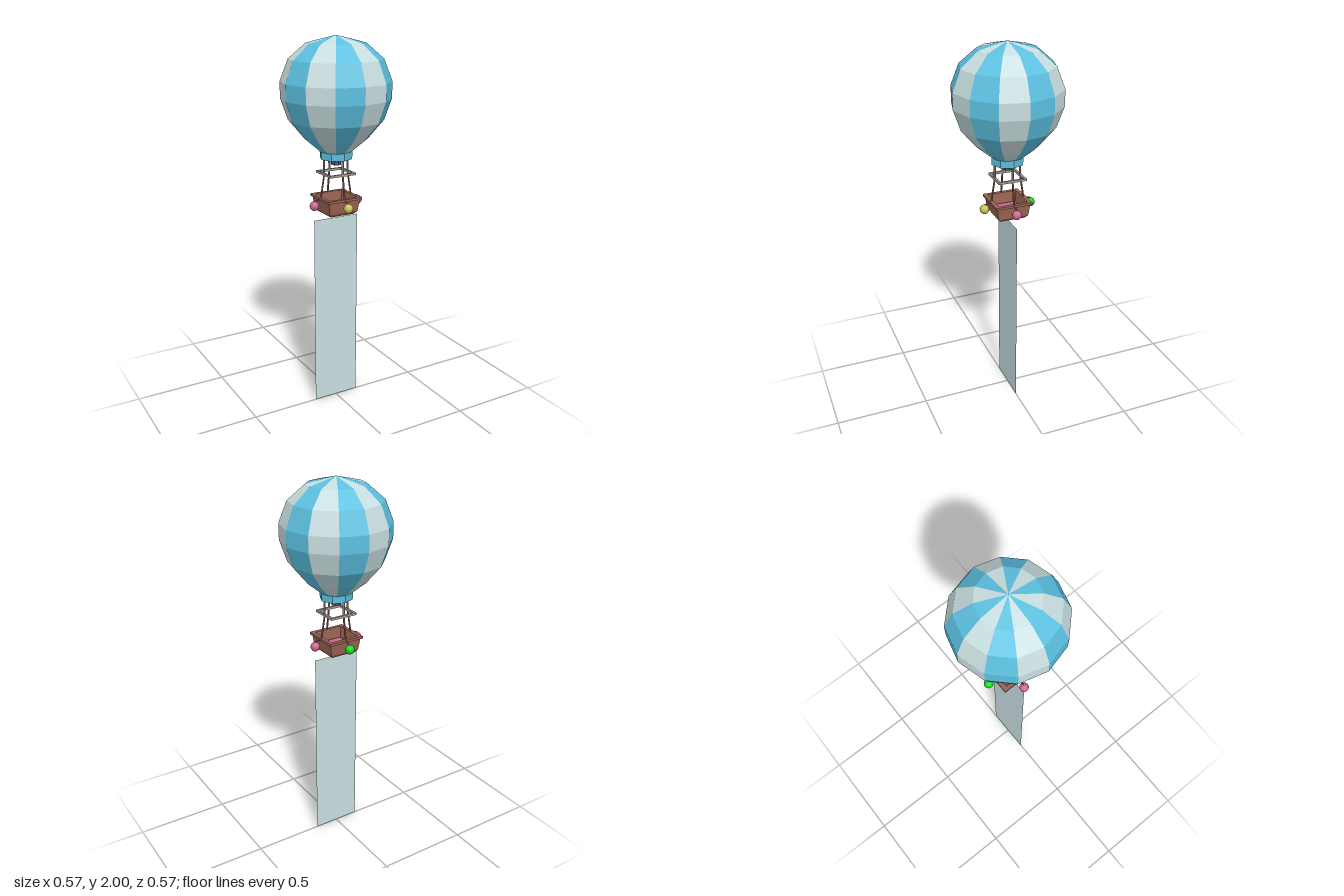
import * as THREE from 'three';

const mat = (name, color, extra = {}) => {
  const m = new THREE.MeshStandardMaterial({ color, ...extra });
  m.name = name;
  return m;
};

export function createModel() {
  const flat = { flatShading: true };
  const blue = mat('sky blue', 0x5cc0e0, flat);
  const pale = mat('pale cloth', 0xc8dee0, { flatShading: true, side: THREE.DoubleSide });
  const brown = mat('basket brown', 0x9a6454, flat);
  const steel = mat('frame grey', 0xa89c98, flat);
  const dark = mat('burner grey', 0x4c565c, flat);
  const pink = mat('pink', 0xcf6591);
  const yellow = mat('yellow', 0xc8c458);
  const green = mat('green', 0x10d818);

  const model = new THREE.Group();
  const add = (name, geometry, material, x = 0, y = 0, z = 0, parent = model) => {
    const mesh = new THREE.Mesh(geometry, material);
    mesh.name = name;
    mesh.position.set(x, y, z);
    parent.add(mesh);
    return mesh;
  };
  const profile = (pts, k = 1) => pts.map(([r, y]) => new THREE.Vector2(r * k, y));

  // straight round bar between two points
  const bar = (name, a, b, radius, material, parent) => {
    const from = new THREE.Vector3(...a), to = new THREE.Vector3(...b);
    const dir = to.clone().sub(from);
    const mid = from.clone().add(to).multiplyScalar(0.5);
    const mesh = add(name, new THREE.CylinderGeometry(radius, radius, dir.length(), 6), material,
      mid.x, mid.y, mid.z, parent);
    mesh.quaternion.setFromUnitVectors(new THREE.Vector3(0, 1, 0), dir.normalize());
  };

  // envelope: twelve gores in alternating colours
  const envelope = new THREE.Group();
  envelope.name = 'envelope';
  model.add(envelope);
  const gore = profile([[0.08, 1.415], [0.165, 1.485], [0.245, 1.58], [0.283, 1.69],
    [0.283, 1.775], [0.24, 1.885], [0.15, 1.963], [0, 2]]);
  const step = Math.PI / 6;
  for (let i = 0; i < 12; i++) {
    add('gore', new THREE.LatheGeometry(gore, 1, i * step, step), i % 2 ? blue : pale, 0, 0, 0, envelope);
  }

  // collar and burner
  add('collar', new THREE.CylinderGeometry(0.088, 0.086, 0.04, 8), blue, 0, 1.4, 0);
  add('burner', new THREE.CylinderGeometry(0.028, 0.026, 0.035, 8), dark, 0, 1.3645, 0);

  // square load frame
  const h = 0.07;
  for (const s of [-1, 1]) {
    add('frameBar', new THREE.BoxGeometry(2 * h + 0.012, 0.012, 0.012), steel, 0, 1.303, s * h);
    add('frameBar', new THREE.BoxGeometry(0.012, 0.012, 2 * h - 0.012), steel, s * h, 1.303, 0);
  }

  // open basket with sloping sides, chamfered foot and a rim
  const basket = profile([[0, 1.088], [0.07, 1.088], [0.083, 1.105], [0.091, 1.168], [0.1, 1.168],
    [0.1, 1.181], [0.08, 1.181], [0.074, 1.12], [0, 1.12]], Math.SQRT2);
  add('basket', new THREE.LatheGeometry(basket, 4, Math.PI / 4), brown);
  add('basketFloor', new THREE.BoxGeometry(0.12, 0.008, 0.12), pink, 0, 1.124, 0);

  // the four sides: post, rope, hook and hanging ball, starting at the front
  [yellow, pink, green, pink].forEach((ballColour, i) => {
    const side = new THREE.Group();
    side.name = 'side';
    side.rotation.y = i * Math.PI / 2;
    model.add(side);
    bar('post', [0, 1.385, 0.07], [0, 1.303, 0.07], 0.006, steel, side);
    bar('rope', [0, 1.303, 0.07], [0, 1.176, 0.09], 0.005, brown, side);
    bar('hook', [0, 1.173, 0.095], [0, 1.165, 0.127], 0.004, brown, side);
    add('ball', new THREE.SphereGeometry(0.025, 12, 8), ballColour, 0, 1.14, 0.129, side);
  });

  // hanging banner
  add('banner', new THREE.PlaneGeometry(0.262, 1.06), pale, 0, 0.53, 0);

  return model;
}
